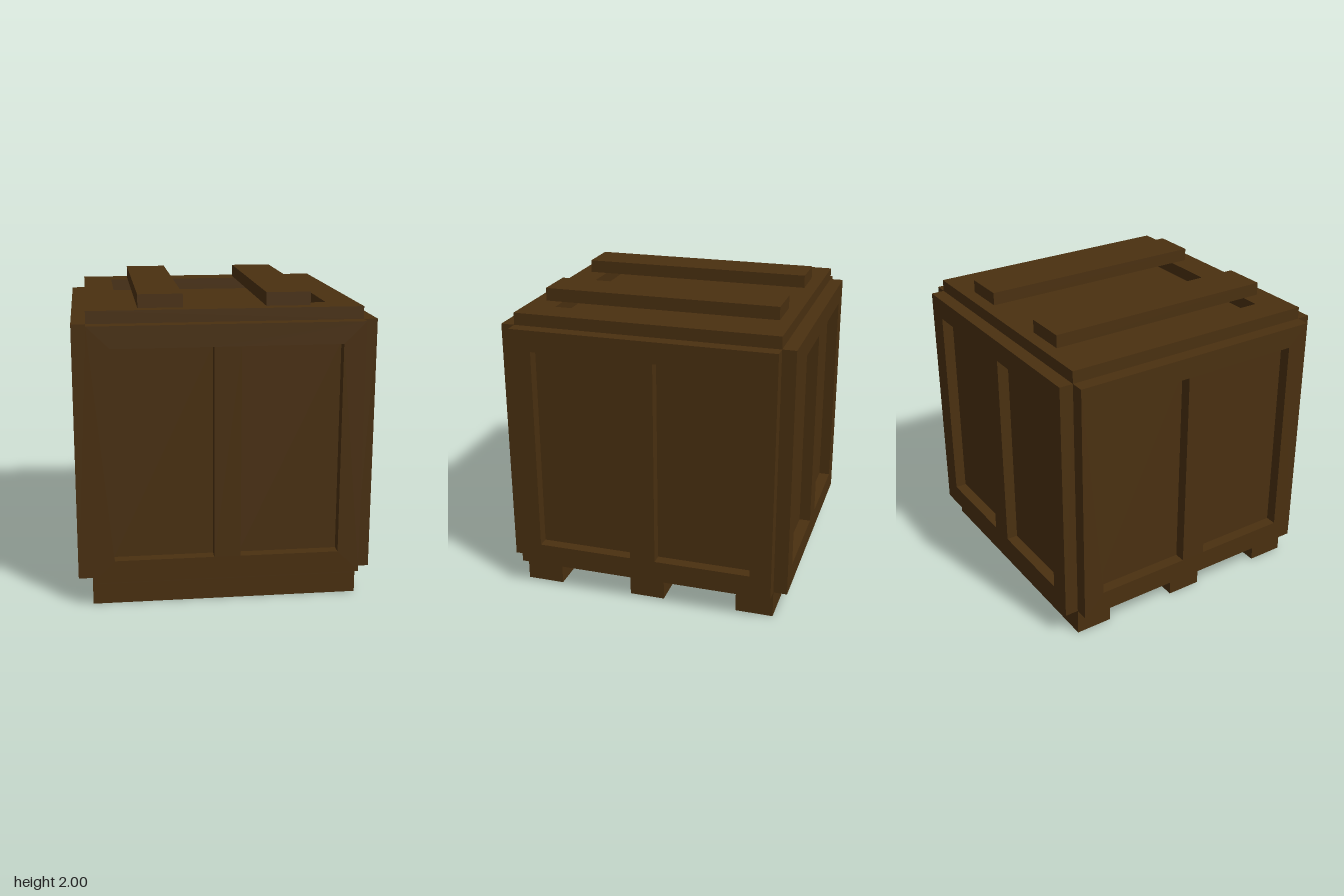
import * as THREE from 'three';

const wood = new THREE.MeshStandardMaterial({ color: 0x4a3010, roughness: 0.9, flatShading: true });

const CORE = 0.865;   // half width of the inner box
const THICK = 0.09;   // thickness of the side frames
const Y0 = 0.18, Y1 = 1.835;

function box(name, w, h, d, x, y, z) {
  const mesh = new THREE.Mesh(new THREE.BoxGeometry(w, h, d), wood);
  mesh.name = name;
  mesh.position.set(x, y, z);
  return mesh;
}

function rect(path, x0, y0, x1, y1) {
  path.moveTo(x0, y0);
  path.lineTo(x1, y0);
  path.lineTo(x1, y1);
  path.lineTo(x0, y1);
  path.closePath();
  return path;
}

// Flat board with rectangular windows, extruded towards +z
function frame(name, outer, holes, depth) {
  const shape = rect(new THREE.Shape(), ...outer);
  for (const h of holes) shape.holes.push(rect(new THREE.Path(), ...h));
  const mesh = new THREE.Mesh(new THREE.ExtrudeGeometry(shape, { depth, bevelEnabled: false }), wood);
  mesh.name = name;
  return mesh;
}

// One wall: a two-window frame with recessed boards behind the windows
function wall(name, angle) {
  const group = new THREE.Group();
  group.name = name;
  const windows = [[-0.723, 0.325, -0.085, 1.695], [0.085, 0.325, 0.723, 1.695]];
  const face = frame('wallFrame', [-CORE, Y0, CORE, Y1], windows, THICK);
  face.position.z = CORE;
  group.add(face);
  for (const [x0, y0, x1, y1] of windows)
    group.add(box('recessedBoard', x1 - x0, y1 - y0, 0.03, (x0 + x1) / 2, (y0 + y1) / 2, CORE));
  group.rotation.y = angle;
  return group;
}

export function createModel() {
  const model = new THREE.Group();
  model.name = 'crate';

  // Inner box, reaching down to the underside between the runners
  model.add(box('innerBox', CORE * 2, Y1 - 0.135, CORE * 2, 0, (Y1 + 0.135) / 2, 0));

  // Four walls
  ['frontWall', 'leftWall', 'backWall', 'rightWall'].forEach((name, i) =>
    model.add(wall(name, i * Math.PI / 2)));

  // Lid frame with one square recess
  const w = 0.665;
  const lid = frame('lidFrame', [-CORE, -CORE, CORE, CORE], [[-w, -w, w, w]], 0.08);
  lid.rotation.x = -Math.PI / 2;
  lid.position.y = Y1;
  model.add(lid);

  // Slats across the lid
  for (const s of [-1, 1])
    model.add(box('lidSlat', 0.281, 0.085, 1.56, s * 0.4025, 1.9575, 0));

  // Runners under the crate
  for (const [z, d] of [[-0.74, 0.25], [0, 0.236], [0.74, 0.25]])
    model.add(box('runner', CORE * 2, 0.135, d, 0, 0.0675, z));

  return model;
}
